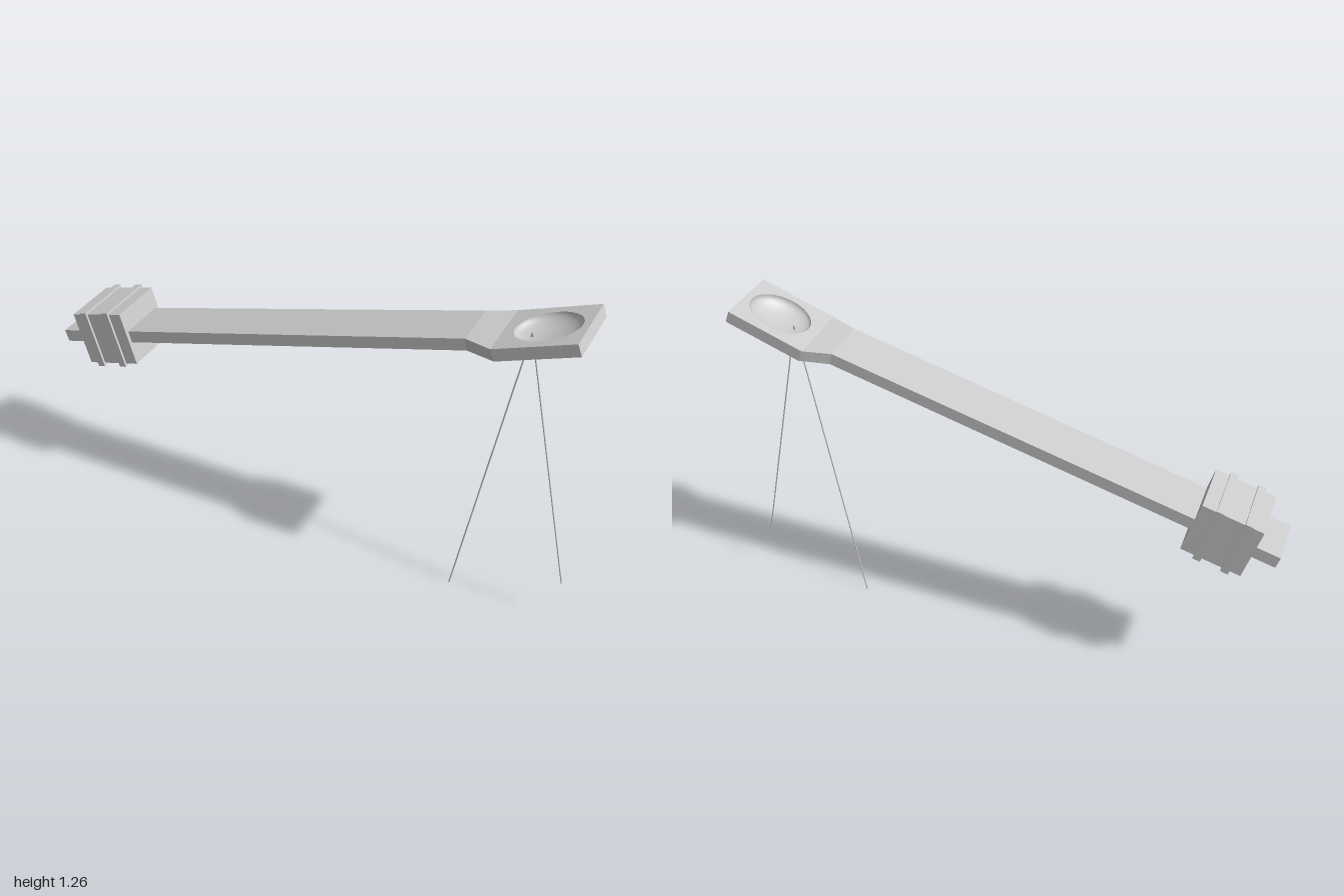
import * as THREE from 'three';

const material = new THREE.MeshStandardMaterial({ color: 0xcccccc, flatShading: true });
const smooth = new THREE.MeshStandardMaterial({ color: 0xcccccc, side: THREE.DoubleSide });

function add(parent, name, geometry, mat = material) {
  const mesh = new THREE.Mesh(geometry, mat);
  mesh.name = name;
  parent.add(mesh);
  return mesh;
}

// Rectangular sections joined in order: [topX, topY, bottomX, bottomY, halfWidth]
function loftBeam(sections) {
  const pos = [], idx = [];
  for (const [tx, ty, bx, by, w] of sections) {
    pos.push(tx, ty, w, tx, ty, -w, bx, by, -w, bx, by, w);
  }
  const quad = (a, b, c, d) => idx.push(a, b, c, a, c, d);
  const last = (sections.length - 1) * 4;
  for (let s = 0; s < last; s += 4) {
    for (let k = 0; k < 4; k++) {
      const n = (k + 1) % 4;
      quad(s + k, s + 4 + k, s + 4 + n, s + n);
    }
  }
  quad(0, 1, 2, 3);
  quad(last + 3, last + 2, last + 1, last);
  const g = new THREE.BufferGeometry();
  g.setAttribute('position', new THREE.Float32BufferAttribute(pos, 3));
  g.setIndex(idx);
  const flat = g.toNonIndexed();
  flat.computeVertexNormals();
  return flat;
}

// Thin round cord between two points
function addCord(parent, name, from, to) {
  const a = new THREE.Vector3(...from), b = new THREE.Vector3(...to);
  const cord = add(parent, name, new THREE.CylinderGeometry(0.0028, 0.0028, a.distanceTo(b), 8), smooth);
  cord.position.copy(a).add(b).multiplyScalar(0.5);
  cord.quaternion.setFromUnitVectors(new THREE.Vector3(0, 1, 0), a.sub(b).normalize());
}

export function createModel() {
  const model = new THREE.Group();
  model.name = 'throwingArm';

  // Long beam, then the flared neck
  add(model, 'beam', loftBeam([
    [-1, 0.687, -0.986, 0.643, 0.091],
    [0.594, 1.144, 0.604, 1.102, 0.091],
    [0.69, 1.155, 0.7055, 1.114, 0.125],
  ]));

  // Head, in its own tilted frame: x along the head, y = 0 on its top face
  const head = new THREE.Group();
  head.name = 'head';
  head.position.set(0.69, 1.155, 0);
  head.rotation.z = 0.365;
  model.add(head);
  const length = 0.286, thick = 0.044, cupX = 0.149, cupR = 0.112, cupW = 0.093;
  const plan = new THREE.Shape();
  plan.moveTo(0, -0.125);
  plan.lineTo(length, -0.125);
  plan.lineTo(length, 0.125);
  plan.lineTo(0, 0.125);
  plan.closePath();
  const hole = new THREE.Path();
  hole.absellipse(cupX, 0, cupR, cupW, 0, Math.PI * 2, true);
  plan.holes.push(hole);
  const slab = new THREE.ExtrudeGeometry(plan, { depth: thick, bevelEnabled: false, curveSegments: 24 });
  slab.rotateX(Math.PI / 2);
  add(head, 'headSlab', slab);
  const base = add(head, 'headUnderside', new THREE.BoxGeometry(length, 0.003, 0.25));
  base.position.set(length / 2, -thick + 0.0015, 0);

  // Hollow cup sunk into the head
  const profile = [];
  for (let i = 0; i <= 12; i++) {
    const t = (i / 12) * Math.PI / 2;
    profile.push(new THREE.Vector2(Math.sin(t), -Math.cos(t)));
  }
  const cup = add(head, 'cup', new THREE.LatheGeometry(profile, 48), smooth);
  cup.scale.set(cupR, 0.04, cupW);
  cup.position.x = cupX;

  // Counterweight block with two raised bands, square to the beam
  const weight = new THREE.Group();
  weight.name = 'counterweight';
  weight.position.set(-0.802, 0.717, 0);
  weight.rotation.z = 0.279;
  model.add(weight);
  add(weight, 'weightBlock', new THREE.BoxGeometry(0.22, 0.207, 0.212));
  for (const x of [-0.056, 0.046]) {
    add(weight, 'weightBand', new THREE.BoxGeometry(0.028, 0.226, 0.23)).position.x = x;
  }

  // Two cords hanging from the cup
  const apex = [0.781, 1.17, 0];
  addCord(model, 'longCord', apex, [0.585, 0, 0]);
  addCord(model, 'shortCord', apex, [0.997, 0.182, 0]);

  return model;
}
